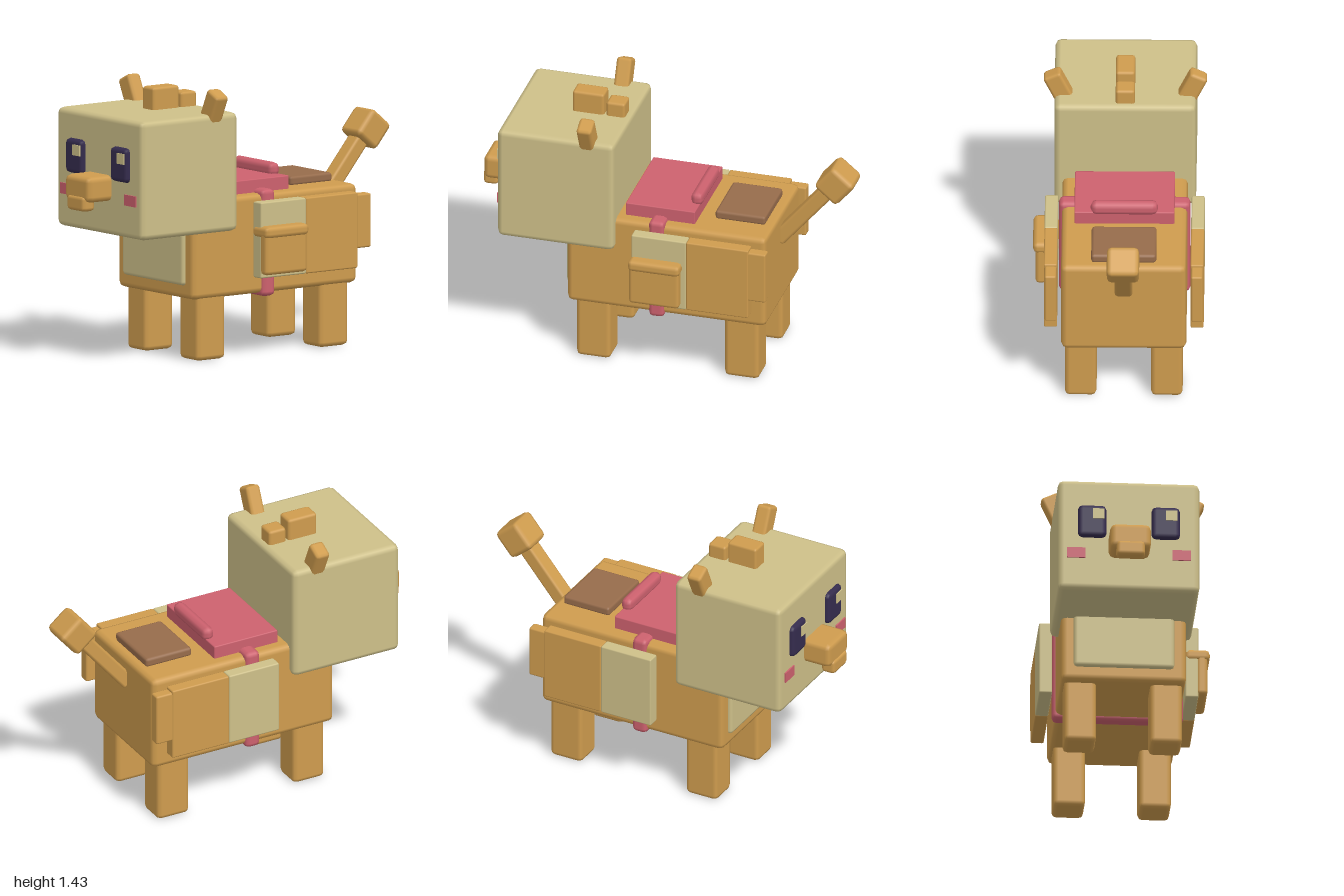
import * as THREE from 'three';
import { RoundedBoxGeometry } from 'three/addons/geometries/RoundedBoxGeometry.js';

export function createModel() {
  const paint = (name, hex) => {
    const m = new THREE.MeshStandardMaterial({ color: hex });
    m.name = name;
    return m;
  };
  const orange = paint('orange fur', 0xcf9c4e);
  const cream = paint('cream fur', 0xcec089);
  const pink = paint('pink cloth', 0xcd616e);
  const brown = paint('brown patch', 0x976c4b);
  const dark = paint('dark eye', 0x352c4e);

  const root = new THREE.Group();
  root.name = 'packAnimal';
  // The animal is symmetric; the side bag pushes its midline off centre.
  const animal = new THREE.Group();
  animal.name = 'animal';
  animal.position.x = -0.025;
  root.add(animal);

  // Box between two limits on each axis, bevelled by r (0 = sharp)
  function box(name, mat, [x0, x1], [y0, y1], [z0, z1], r = 0.02) {
    const size = [x1 - x0, y1 - y0, z1 - z0];
    const geo = r > 0
      ? new RoundedBoxGeometry(...size, 1, r)
      : new THREE.BoxGeometry(...size);
    const mesh = new THREE.Mesh(geo, mat);
    mesh.name = name;
    mesh.position.set((x0 + x1) / 2, (y0 + y1) / 2, (z0 + z1) / 2);
    animal.add(mesh);
    return mesh;
  }
  // Box of half width w on the midline
  const mid = (name, mat, w, y, z, r) => box(name, mat, [-w, w], y, z, r);
  // The x range on one side
  const range = (s, a, b) => (s > 0 ? [a, b] : [-b, -a]);

  // Body and head
  mid('body', orange, 0.325, [0.325, 0.846], [-0.6, 0.475], 0.03);
  mid('chestBib', cream, 0.262, [0.396, 0.78], [0.44, 0.495], 0.02);
  mid('head', cream, 0.368, [0.674, 1.297], [0.21, 0.84], 0.03);
  mid('muzzle', orange, 0.106, [0.854, 0.989], [0.8, 0.99], 0.03);
  mid('mouth', orange, 0.074, [0.806, 0.886], [0.92, 1.0], 0.02);
  mid('frontTuft', orange, 0.05, [1.26, 1.414], [0.353, 0.524], 0.015);
  mid('backTuft', orange, 0.05, [1.26, 1.375], [0.24, 0.342], 0.015);

  for (const s of [1, -1]) {
    const side = s > 0 ? 'left' : 'right';
    // Face
    box(side + 'Eye', dark, range(s, 0.117, 0.266), [0.966, 1.148], [0.8, 0.866], 0.025);
    const glint = s > 0 ? [0.19, 0.25] : [-0.19, -0.13];
    box(side + 'EyeGlint', cream, glint, [1.065, 1.121], [0.864, 0.872], 0);
    box(side + 'Cheek', pink, range(s, 0.227, 0.323), [0.848, 0.905], [0.842, 0.85], 0);
    // Ear, leaning outward
    const ear = box(side + 'Ear', orange, [-0.05, 0.05], [-0.125, 0.125], [0.315, 0.397], 0.018);
    ear.position.set(s * 0.332, 1.299, 0.356);
    ear.rotation.z = -s * 0.436;
    // Legs
    box(side + 'FrontLeg', orange, range(s, 0.141, 0.306), [0, 0.36], [0.245, 0.43], 0.025);
    box(side + 'HindLeg', orange, range(s, 0.141, 0.306), [0, 0.36], [-0.557, -0.37], 0.025);
    // Flank panel in three pieces
    box(side + 'PanelFront', cream, range(s, 0.346, 0.415), [0.418, 0.816], [-0.196, 0.1], 0.008);
    box(side + 'PanelRear', orange, range(s, 0.346, 0.415), [0.418, 0.816], [-0.532, -0.196], 0.008);
    box(side + 'PanelTip', orange, range(s, 0.35, 0.41), [0.52, 0.803], [-0.624, -0.52], 0.01);
  }

  // Saddle, girth strap and rump patch
  mid('girthStrap', pink, 0.341, [0.307, 0.868], [-0.055, 0.031], 0.025);
  mid('saddlePad', pink, 0.26, [0.84, 0.916], [-0.2, 0.175], 0.006);
  mid('saddleRoll', pink, 0.175, [0.9, 0.974], [-0.214, -0.148], 0.03);
  mid('rumpPatch', brown, 0.169, [0.84, 0.89], [-0.553, -0.282], 0.015);

  // Bag on the left flank
  box('bag', orange, [0.405, 0.463], [0.438, 0.68], [-0.17, 0.103], 0.02);
  box('bagFlap', orange, [0.342, 0.475], [0.63, 0.692], [-0.175, 0.107], 0.024);

  // Tail: tilted rod with a block at its tip
  const tilt = -0.698;
  const rod = mid('tailRod', orange, 0.046, [-0.25, 0.25], [-0.04, 0.04], 0.015);
  rod.position.set(0, 0.885, -0.74);
  rod.rotation.x = tilt;
  const knob = mid('tailTip', orange, 0.084, [-0.082, 0.082], [-0.079, 0.079], 0.025);
  knob.position.set(0, 1.073, -0.898);
  knob.rotation.x = tilt;

  return root;
}
